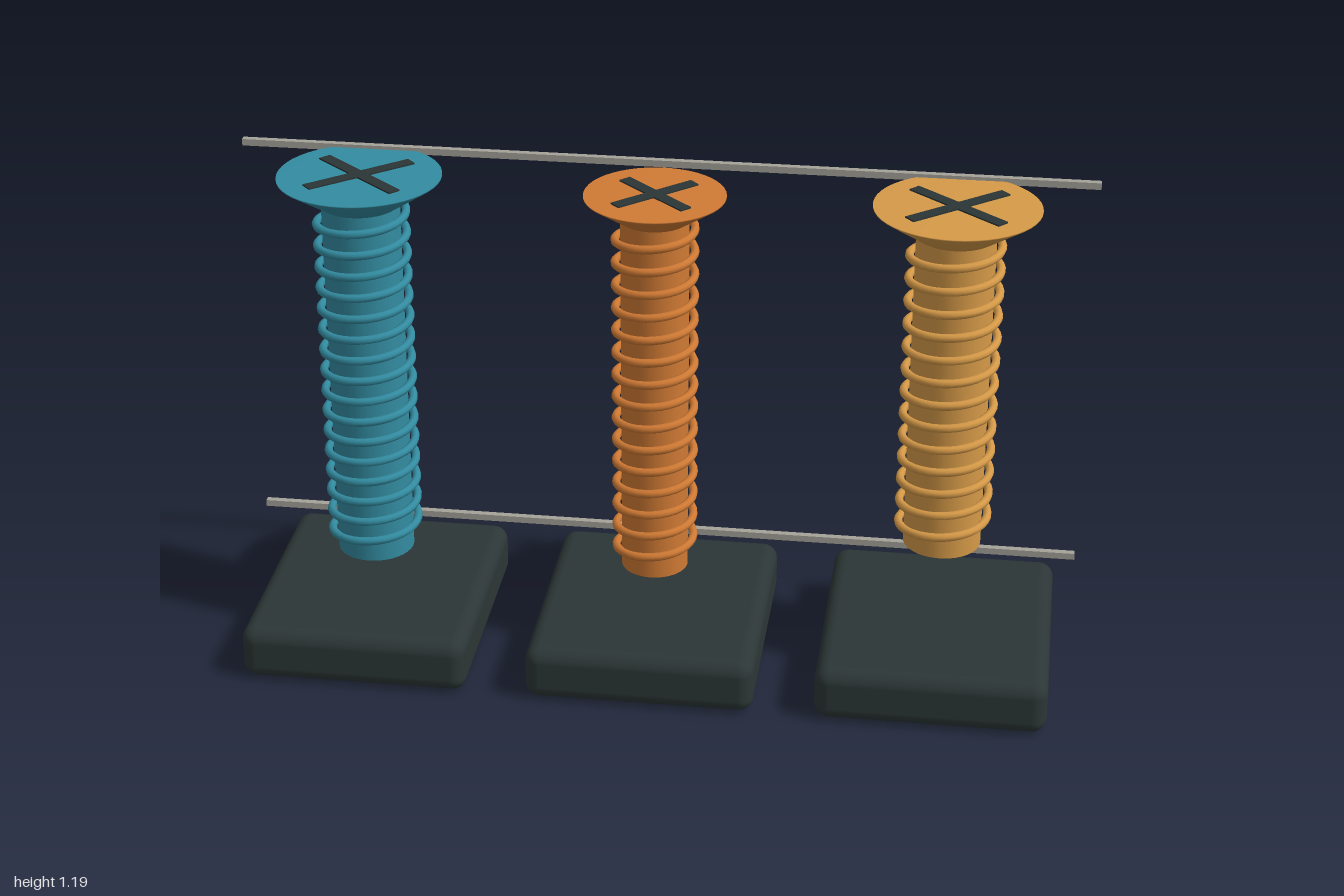
import * as THREE from 'three';
import { RoundedBoxGeometry } from 'three/addons/geometries/RoundedBoxGeometry.js';

const material = (name, color) => {
  const m = new THREE.MeshStandardMaterial({ color });
  m.name = name;
  return m;
};

// Rising spiral, counter-clockwise seen from above
class Helix extends THREE.Curve {
  constructor(radius, bottom, top, turns) {
    super();
    Object.assign(this, { radius, bottom, top, turns });
  }
  getPoint(t, target = new THREE.Vector3()) {
    const a = 0.67 + t * this.turns * Math.PI * 2;
    return target.set(
      this.radius * Math.cos(a),
      this.bottom + t * (this.top - this.bottom),
      -this.radius * Math.sin(a)
    );
  }
}

function part(parent, name, geometry, mat, x = 0, y = 0, z = 0) {
  const mesh = new THREE.Mesh(geometry, mat);
  mesh.name = name;
  mesh.position.set(x, y, z);
  parent.add(mesh);
  return mesh;
}

export function createModel() {
  const model = new THREE.Group();
  model.name = 'screwDisplay';

  const dark = material('charcoal', 0x2c3636);
  const grey = material('railGrey', 0xa5a299);
  const teal = material('teal', 0x338ca1);
  const copper = material('copper', 0xd07a34);
  const gold = material('gold', 0xd69a48);

  const screws = [
    { name: 'tealScrew', mat: teal, x: -0.683, r: 0.091, head: 0.19, top: 1.186, bottom: 0.223, turns: 16, slot: 0.275, angle: 0.73 },
    { name: 'copperScrew', mat: copper, x: 0, r: 0.079, head: 0.163, top: 1.176, bottom: 0.223, turns: 15, slot: 0.225, angle: 0.77 },
    { name: 'goldScrew', mat: gold, x: 0.683, r: 0.091, head: 0.19, top: 1.186, bottom: 0.335, turns: 13, slot: 0.275, angle: 0.72 },
  ];

  for (const s of screws) {
    // Rounded plinth below each screw
    part(model, 'plinth', new RoundedBoxGeometry(0.54, 0.132, 0.615, 4, 0.035), dark, s.x, 0.066, 0);

    const screw = new THREE.Group();
    screw.name = s.name;
    screw.position.x = s.x;
    model.add(screw);

    // Plain shank
    const shankTop = 1.13;
    const length = shankTop - s.bottom;
    part(screw, 'shank', new THREE.CylinderGeometry(s.r, s.r, length, 32), s.mat, 0, s.bottom + length / 2, 0);

    // Countersunk head, shaded smoothly over the rim
    const profile = [[0, 1.117], [s.r, 1.117], [s.head, s.top - 0.003], [s.head, s.top], [0, s.top]];
    part(screw, 'head', new THREE.LatheGeometry(profile.map(([x, y]) => new THREE.Vector2(x, y)), 48), s.mat);

    // Raised spiral thread with closed ends
    const helix = new Helix(s.r + 0.013, s.bottom + 0.026, 1.1, s.turns);
    part(screw, 'thread', new THREE.TubeGeometry(helix, s.turns * 32, 0.01, 8), s.mat);
    for (const t of [0, 1]) {
      const p = helix.getPoint(t);
      part(screw, 'threadEnd', new THREE.SphereGeometry(0.01, 8, 6), s.mat, p.x, p.y, p.z);
    }

    // Crossed drive slots
    for (const side of [-1, 1]) {
      const slot = part(screw, 'driveSlot', new THREE.BoxGeometry(s.slot, 0.009, 0.03), dark, 0, s.top - 0.001, 0);
      slot.rotation.y = side * s.angle;
    }
  }

  // Two thin guide rails behind the screws
  for (const y of [0.222, 1.186]) {
    part(model, 'guideRail', new THREE.BoxGeometry(2, 0.016, 0.016), grey, 0, y, -0.168);
  }

  return model;
}
